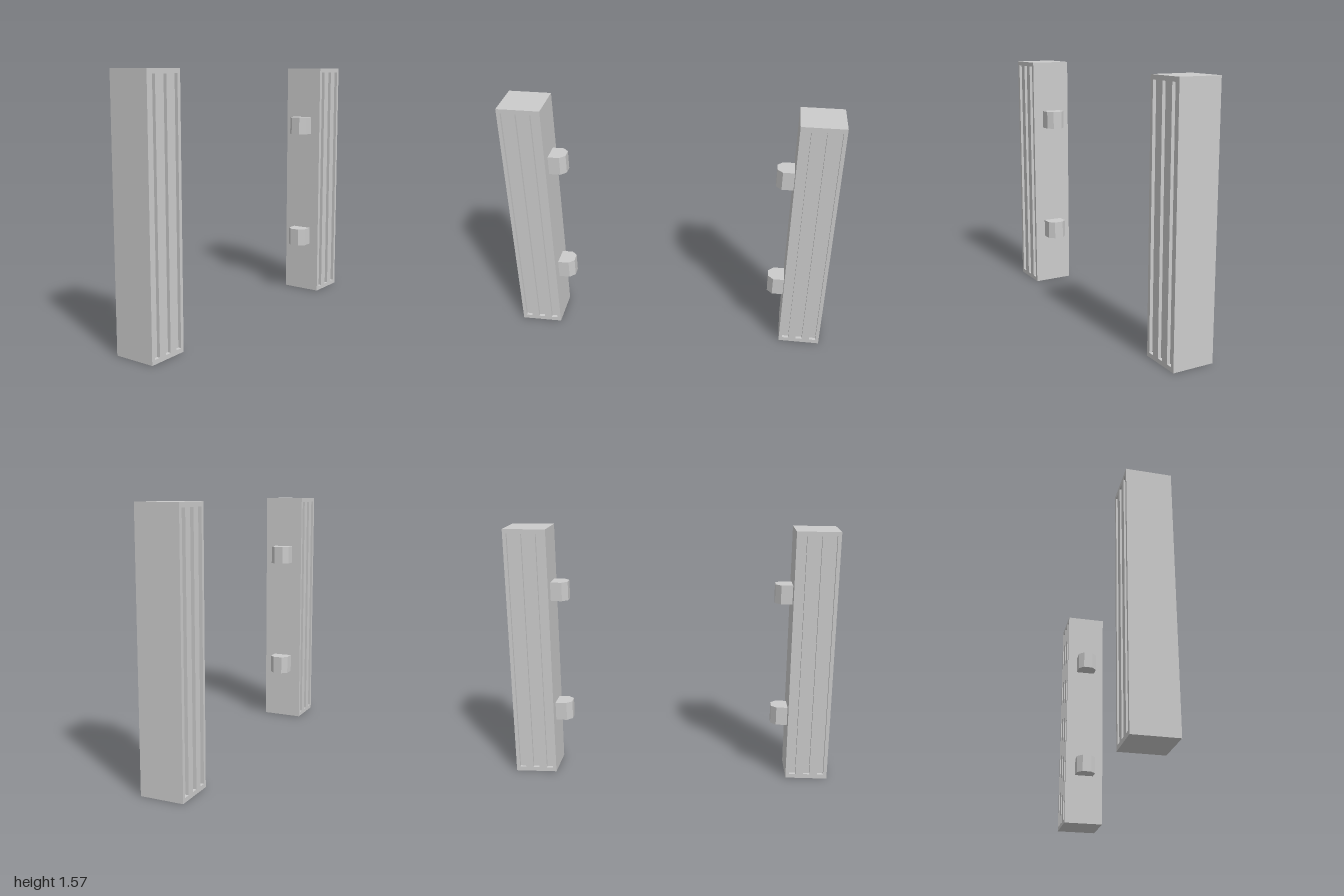
import * as THREE from 'three';

const WIDTH = 0.26, HEIGHT = 1.57, GROOVE_DEPTH = 0.02;
const material = new THREE.MeshStandardMaterial({ color: 0xcccccc, flatShading: true });

function part(name, geometry) {
  const mesh = new THREE.Mesh(geometry, material);
  mesh.name = name;
  return mesh;
}

// Side panel pierced by three tall slots, which become grooves against the core
function panelGeometry() {
  const w = WIDTH / 2;
  const shape = new THREE.Shape([[-w, 0], [w, 0], [w, HEIGHT], [-w, HEIGHT]].map(p => new THREE.Vector2(...p)));
  for (const c of [-0.088, 0, 0.088]) {
    const l = c - 0.02, r = c + 0.02, b = 0.027, t = HEIGHT - 0.027;
    shape.holes.push(new THREE.Path([[l, b], [l, t], [r, t], [r, b]].map(p => new THREE.Vector2(...p))));
  }
  return new THREE.ExtrudeGeometry(shape, { depth: GROOVE_DEPTH, bevelEnabled: false })
    .rotateY(Math.PI / 2);
}

// Peg with chamfered nose pointing to -z
function pegGeometry() {
  const outline = [[-0.063, 0], [0.063, 0], [0.063, 0.07], [0.03, 0.103], [-0.03, 0.103], [-0.063, 0.07]];
  return new THREE.ExtrudeGeometry(
    new THREE.Shape(outline.map(p => new THREE.Vector2(...p))),
    { depth: 0.116, bevelEnabled: false }
  ).rotateX(-Math.PI / 2);
}

function createPost(name) {
  const post = new THREE.Group();
  post.name = name;
  const coreWidth = WIDTH - 2 * GROOVE_DEPTH;
  const core = part('postCore', new THREE.BoxGeometry(coreWidth, HEIGHT, WIDTH));
  core.position.y = HEIGHT / 2;
  post.add(core);

  // Grooved panels on both sides
  const left = part('leftGroovedPanel', panelGeometry());
  left.position.x = coreWidth / 2;
  const right = part('rightGroovedPanel', panelGeometry());
  right.position.x = -WIDTH / 2;
  post.add(left, right);

  // Two pegs on the inner face
  for (const [label, y] of [['lowerPeg', 0.335], ['upperPeg', 1.12]]) {
    const peg = part(label, pegGeometry());
    peg.position.set(0, y, -WIDTH / 2);
    post.add(peg);
  }
  return post;
}

export function createModel() {
  const model = new THREE.Group();
  model.name = 'pairOfPosts';
  const front = createPost('frontPost');
  front.position.z = 1 - WIDTH / 2;
  const back = createPost('backPost');
  back.position.z = -(1 - WIDTH / 2);
  back.rotation.y = Math.PI;
  model.add(front, back);
  return model;
}
